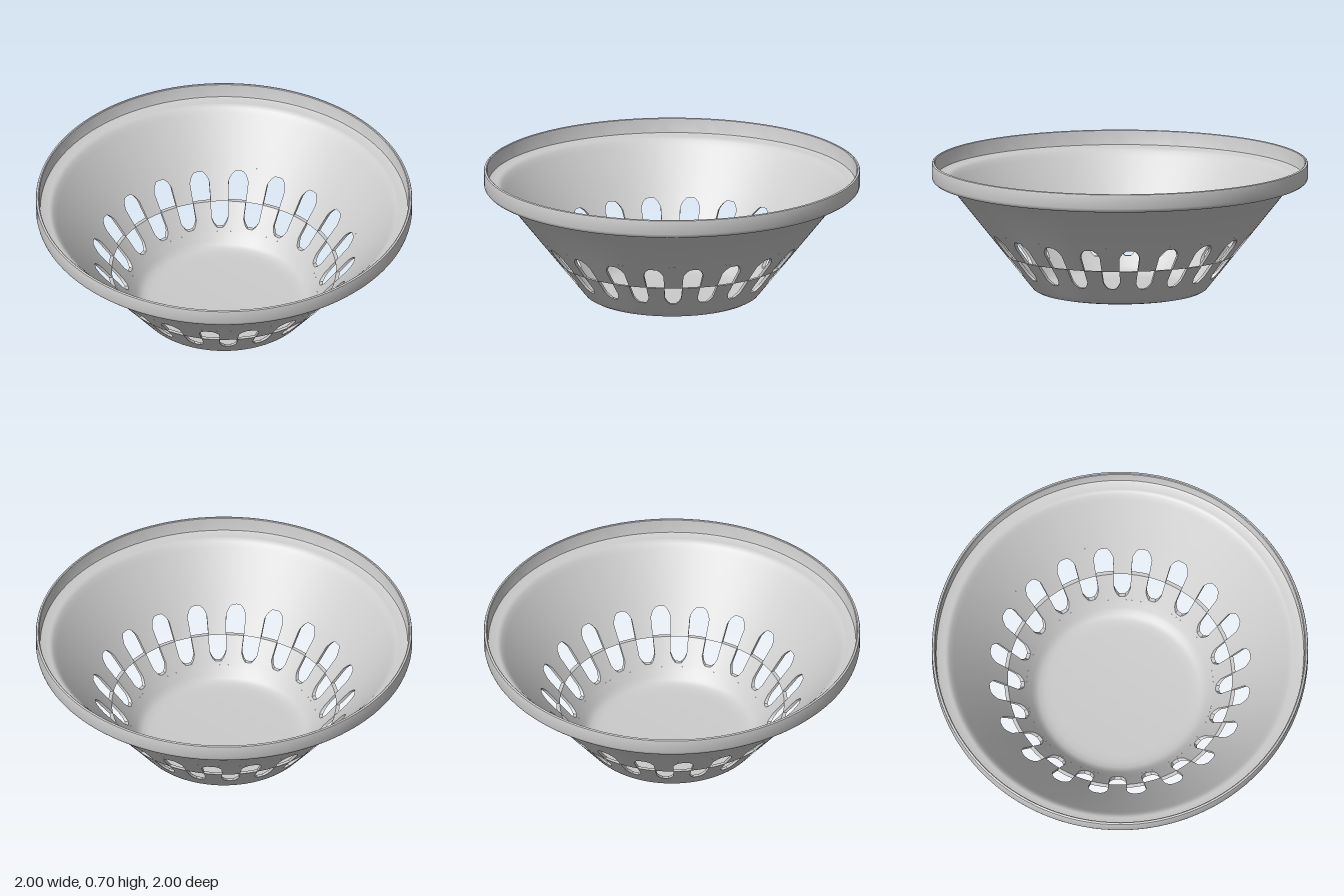
import * as THREE from 'three';
import { toCreasedNormals } from 'three/addons/utils/BufferGeometryUtils.js';

const CELLS = 40;                       // openings alternate between two rows
const LOW = 0.09, SEAM = 0.215, HIGH = 0.36;
const outerR = (y) => 0.48 + 0.793 * (y - 0.045);
const innerR = (y) => outerR(y) - 0.019;

// Half outline of an opening: [fraction of cell width, fraction of height]
const ARCH = [[0, 0.66], [0.06, 0.77], [0.15, 0.89], [0.3, 1], [0.5, 1.01],
  [0.7, 1], [0.85, 0.89], [0.94, 0.77], [1, 0.66]];

function point(angle, r, y) {
  return [r * Math.sin(angle), y, r * Math.cos(angle)];
}

// One row of wall: solid cells reach the seam, open cells stop at an arch
function wallRow(upper) {
  const pos = [];
  const quad = (a, b, c, d) => pos.push(...a, ...b, ...c, ...a, ...c, ...d);
  const far = upper ? HIGH : LOW;
  const archEnd = upper ? 0.342 : 0.106;
  const step = (Math.PI * 2) / CELLS;

  for (let k = 0; k < CELLS; k++) {
    const open = (k % 2 === 0) === upper;
    const edge = (i) => (open ? SEAM + (archEnd - SEAM) * ARCH[i][1] : SEAM);
    for (let i = 0; i < ARCH.length - 1; i++) {
      const t0 = (k + ARCH[i][0]) * step, t1 = (k + ARCH[i + 1][0]) * step;
      const e0 = edge(i), e1 = edge(i + 1);
      const [lo0, hi0] = upper ? [e0, far] : [far, e0];
      const [lo1, hi1] = upper ? [e1, far] : [far, e1];
      const out = (t, y) => point(t, outerR(y), y);
      const inn = (t, y) => point(t, innerR(y), y);
      quad(out(t0, lo0), out(t1, lo1), out(t1, hi1), out(t0, hi0));
      quad(inn(t0, hi0), inn(t1, hi1), inn(t1, lo1), inn(t0, lo0));
      // Thickness along the opening edge
      if (upper) quad(out(t0, e0), inn(t0, e0), inn(t1, e1), out(t1, e1));
      else quad(out(t1, e1), inn(t1, e1), inn(t0, e0), out(t0, e0));
    }
    // Side faces of the bars between openings
    if (!open) {
      const side = SEAM + (archEnd - SEAM) * ARCH[0][1];
      const lo = Math.min(SEAM, side), hi = Math.max(SEAM, side);
      const a = k * step, b = (k + 1) * step;
      quad(point(a, innerR(lo), lo), point(a, outerR(lo), lo),
        point(a, outerR(hi), hi), point(a, innerR(hi), hi));
      quad(point(b, innerR(hi), hi), point(b, outerR(hi), hi),
        point(b, outerR(lo), lo), point(b, innerR(lo), lo));
    }
  }
  const geo = new THREE.BufferGeometry();
  geo.setAttribute('position', new THREE.Float32BufferAttribute(pos, 3));
  return toCreasedNormals(geo, 0.5);
}

function lathe(profile) {
  const pts = profile.map(([r, y]) => new THREE.Vector2(r, y));
  return toCreasedNormals(new THREE.LatheGeometry(pts, 120), 0.6);
}

export function createModel() {
  const group = new THREE.Group();
  const material = new THREE.MeshStandardMaterial({ color: 0xcccccc });
  const add = (name, geo) => {
    const mesh = new THREE.Mesh(geo, material);
    mesh.name = name;
    group.add(mesh);
  };

  // Floor with rounded corner, outside and inside
  add('baseOutside', lathe([[0, 0], [0.36, 0], [0.405, 0.003], [0.44, 0.011],
    [0.463, 0.024], [0.48, 0.045], [outerR(LOW), LOW]]));
  add('baseInside', lathe([[innerR(LOW), LOW], [0.468, 0.055], [0.45, 0.036],
    [0.43, 0.024], [0.40, 0.018], [0.36, 0.015], [0, 0.015]]));

  // Perforated wall
  add('lowerSlottedWall', wallRow(false));
  add('upperSlottedWall', wallRow(true));

  // Upper wall, flat ledge and upright rim
  add('upperWallAndRim', lathe([
    [outerR(HIGH), HIGH], [outerR(0.59), 0.59], [0.925, 0.598], [0.935, 0.6],
    [0.98, 0.6], [0.99, 0.603], [0.997, 0.61], [1, 0.622],
    [1, 0.69], [0.998, 0.697], [0.993, 0.7], [0.988, 0.7], [0.984, 0.697], [0.982, 0.69],
    [0.98, 0.63], [0.977, 0.622], [0.968, 0.617], [0.93, 0.616], [0.918, 0.613],
    [0.905, 0.603], [innerR(0.58), 0.58], [innerR(HIGH), HIGH]]));
  return group;
}
